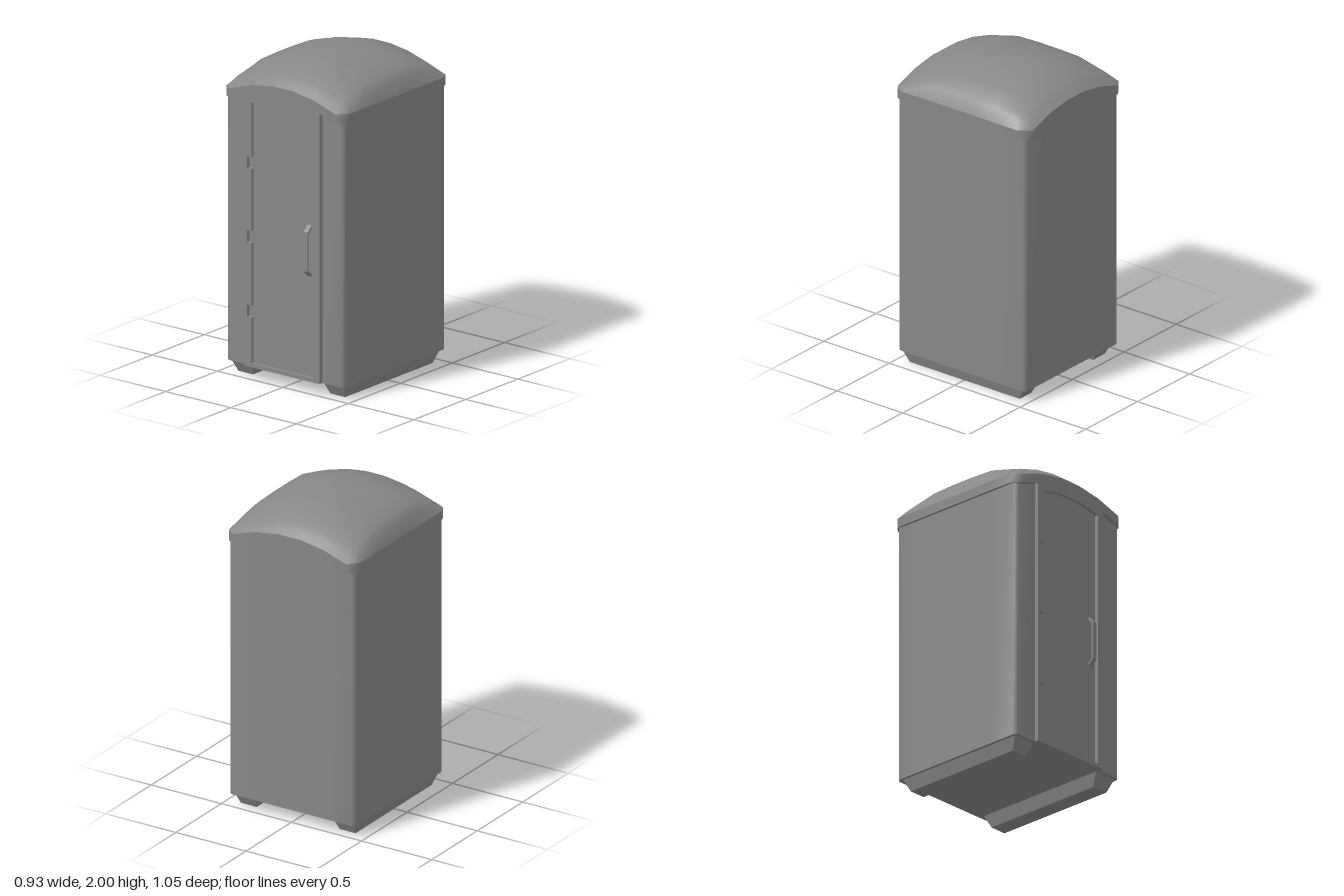
import * as THREE from 'three';
import { toCreasedNormals } from 'three/addons/utils/BufferGeometryUtils.js';

const material = new THREE.MeshStandardMaterial({ color: 0x878787 });

// Piecewise linear value at the distance |t| from the middle
function ramp(t, table) {
  const d = Math.abs(t);
  const i = table.findIndex(([at]) => d <= at);
  if (i < 0) return table.at(-1)[1];
  if (i === 0) return table[0][1];
  const [[d0, v0], [d1, v1]] = [table[i - 1], table[i]];
  return v0 + (v1 - v0) * (d - d0) / (d1 - d0);
}

// Rise of the shallow arch shared by roof, wall tops and door frame
const arch = (x) => ramp(x, [[0.08, 0.08], [0.24, 0.055], [0.41, 0]]);

// Roof surface: the arch plus a crown that falls away at sides and ends
function roofHeight(x, z) {
  const across = ramp(x, [[0.24, 1], [0.39, 0.96], [0.43, 0.7], [0.465, 0]]);
  const along = ramp(z, [[0.215, 1], [0.433, 0.5], [0.515, 0]]);
  return 1.8 + arch(x) + 0.12 * across * along;
}

// Rectangle outline with softened corners, running right, front, left, back
function outline(hx, hz, soft) {
  const quarter = [
    [hx, 0.1], [hx, 0.28], [hx, hz - 0.075 * soft], [hx - 0.015 * soft, hz - 0.03 * soft],
    [hx - 0.055 * soft, hz], [0.24, hz], [0.08, hz],
  ];
  const flip = quarter.slice().reverse();
  return [
    ...quarter,
    ...flip.map(([x, z]) => [-x, z]),
    ...quarter.map(([x, z]) => [-x, -z]),
    ...flip.map(([x, z]) => [x, -z]),
  ];
}

// Skin closed rings of points, skipping triangles that collapse to a line
function loft(rings, crease) {
  const n = rings[0].length;
  const points = rings.flat();
  const index = [];
  const tri = (...t) => {
    const [a, b, c] = t.map((i) => points[i]);
    if (a.distanceTo(b) > 1e-6 && b.distanceTo(c) > 1e-6 && c.distanceTo(a) > 1e-6) index.push(...t);
  };
  for (let r = 0; r < rings.length - 1; r++) {
    for (let i = 0; i < n; i++) {
      const a = r * n + i, b = r * n + (i + 1) % n;
      tri(a, a + n, b);
      tri(b, a + n, b + n);
    }
  }
  const geometry = new THREE.BufferGeometry().setFromPoints(points);
  geometry.setIndex(index);
  return toCreasedNormals(geometry, crease);
}

function add(parent, name, geometry) {
  const mesh = new THREE.Mesh(geometry, material);
  mesh.name = name;
  parent.add(mesh);
  return mesh;
}

const ring = (points, scale, height) => points.map(([px, pz]) => {
  const x = px * scale, z = pz * scale;
  return new THREE.Vector3(x, height(x, z), z);
});

function cabin() {
  const plan = outline(0.45, 0.49, 0.4);
  return loft([
    ring(plan, 0, () => 0.08),
    ring(plan, 1, () => 0.08),
    ring(plan, 1, (x) => 1.76 + arch(x)),
  ], 0.9);
}

const roofPlan = outline(0.465, 0.515, 1);

function roofRim() {
  const lip = (x) => 1.74 + arch(x);
  return loft([ring(roofPlan, 0.9, lip), ring(roofPlan, 1, lip), ring(roofPlan, 1, roofHeight)], 0.8);
}

function roofDome() {
  return loft([1, 0.925, 0.84, 0.65, 0.415, 0.17, 0].map((s) => ring(roofPlan, s, roofHeight)), Math.PI);
}

// Door outline with an arched head and hinge notches on one side
function doorPoints() {
  const p = [[0.235, 0.105], [0.235, 1.742], [0.16, 1.762], [0.08, 1.775],
    [-0.08, 1.775], [-0.16, 1.762], [-0.235, 1.742]];
  for (const y of [1.365, 0.9, 0.43]) {
    p.push([-0.235, y + 0.037], [-0.268, y + 0.037], [-0.268, y - 0.037], [-0.235, y - 0.037]);
  }
  p.push([-0.235, 0.105]);
  return p.map(([x, y]) => new THREE.Vector2(x, y));
}

function extrude(shape, depth) {
  return new THREE.ExtrudeGeometry(shape, { depth, bevelEnabled: false });
}

function doorFrame() {
  const shape = new THREE.Shape();
  shape.moveTo(-0.285, 0.08);
  shape.lineTo(0.285, 0.08);
  for (const x of [0.285, 0.24, 0.08, -0.08, -0.24, -0.285]) shape.lineTo(x, 1.742 + arch(x));
  shape.closePath();
  shape.holes.push(new THREE.Path(doorPoints()));
  return extrude(shape, 0.037);
}

// Bent grab bar, drawn in side profile and extruded across its width
function handle() {
  const profile = [[0.48, 1.062], [0.522, 1.02], [0.522, 0.772], [0.48, 0.73],
    [0.48, 0.748], [0.512, 0.78], [0.512, 1.012], [0.48, 1.044]];
  const geometry = extrude(new THREE.Shape(profile.map(([z, y]) => new THREE.Vector2(-z, y))), 0.031);
  return geometry.rotateY(Math.PI / 2);
}

// Runner that narrows toward the ground
function skid() {
  const geometry = new THREE.BoxGeometry(0.16, 0.08, 0.92);
  const p = geometry.attributes.position;
  for (let i = 0; i < p.count; i++) {
    if (p.getY(i) < 0) p.setXYZ(i, p.getX(i) * 0.7, p.getY(i), p.getZ(i) * 0.913);
  }
  geometry.computeVertexNormals();
  return geometry;
}

export function createModel() {
  const model = new THREE.Group();
  model.name = 'portableCabin';

  add(model, 'cabinWalls', cabin()).position.z = -0.01;
  add(model, 'roofRim', roofRim()).position.z = -0.01;
  add(model, 'roofDome', roofDome()).position.z = -0.01;

  // Door set back inside its raised frame
  add(model, 'doorFrame', doorFrame()).position.z = 0.47;
  add(model, 'door', extrude(new THREE.Shape(doorPoints()), 0.02)).position.z = 0.465;
  add(model, 'doorHandle', handle()).position.x = 0.176;

  for (const side of [-1, 1]) {
    const name = side > 0 ? 'leftSkid' : 'rightSkid';
    add(model, name, skid()).position.set(side * 0.352, 0.04, -0.005);
  }
  return model;
}
